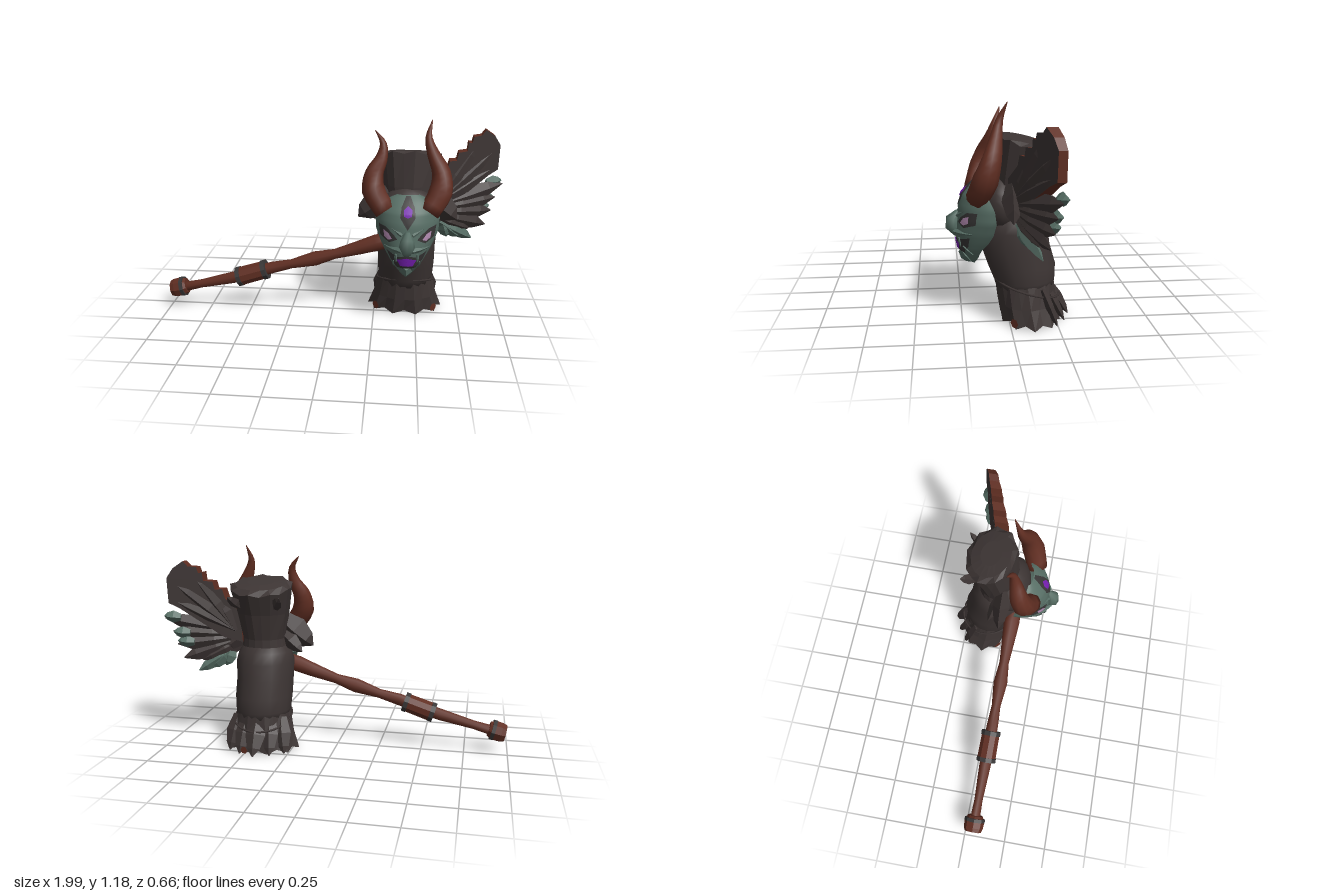
import * as THREE from 'three';

const V = (x, y, z) => new THREE.Vector3(x, y, z);
const CX = 0.435;

const mat = (name, color, side = THREE.FrontSide) => {
  const m = new THREE.MeshStandardMaterial({ color, side });
  m.name = name;
  return m;
};

export function createModel() {
  const root = new THREE.Group();
  root.name = 'hornedMaskHammer';
  const dark = mat('darkCloth', 0x3d3534, THREE.DoubleSide);
  const brown = mat('redBrownHorn', 0x602e22);
  const green = mat('greenBone', 0x576e65, THREE.DoubleSide);
  const grey = mat('darkSocket', 0x393737, THREE.DoubleSide);
  const purple = mat('purpleGlow', 0x741fae, THREE.DoubleSide);
  const mauve = mat('paleEye', 0xb48cb2, THREE.DoubleSide);

  const add = (name, geo, material) => {
    const m = new THREE.Mesh(geo, material);
    m.name = name;
    root.add(m);
    return m;
  };

  // Skin a stack of equal rings, closing both ends with fans
  const loft = (rings, flat = true) => {
    const n = rings[0].length, pos = [], idx = [];
    rings.forEach(r => r.forEach(p => pos.push(p.x, p.y, p.z)));
    for (let i = 0; i < rings.length - 1; i++) for (let j = 0; j < n; j++) {
      const a = i * n + j, b = i * n + (j + 1) % n;
      idx.push(a, b, b + n, a, b + n, a + n);
    }
    [0, rings.length - 1].forEach(k => {
      const c = V(0, 0, 0);
      rings[k].forEach(p => c.addScaledVector(p, 1 / n));
      const id = pos.length / 3;
      pos.push(c.x, c.y, c.z);
      for (let j = 0; j < n; j++) {
        const a = k * n + j, b = k * n + (j + 1) % n;
        idx.push(id, k ? a : b, k ? b : a);
      }
    });
    let g = new THREE.BufferGeometry();
    g.setAttribute('position', new THREE.Float32BufferAttribute(pos, 3));
    g.setIndex(idx);
    if (flat) g = g.toNonIndexed();
    g.computeVertexNormals();
    return g;
  };

  // Horizontal elliptical ring, optionally jagged and tilted
  const ring = (y, cz, rx, rz, n = 18, jag = 0, jagY = 0, tilt = 0) =>
    Array.from({ length: n }, (_, j) => {
      const a = j / n * Math.PI * 2, s = j % 2 ? 1 - jag : 1;
      const z = -rz * s * Math.sin(a);
      return V(CX + rx * s * Math.cos(a), y + (j % 2) * jagY + tilt * z, cz + z);
    });

  // Tapered sweep along points; squeeze thins its depth
  const sweep = (pts, radii, sides = 8, squeeze = 1, flat = true) =>
    loft(pts.map((p, i) => {
      const t = pts[Math.min(i + 1, pts.length - 1)].clone().sub(pts[Math.max(i - 1, 0)]).normalize();
      const n = V(0, 0, 1).cross(t).normalize(), b = t.clone().cross(n);
      return Array.from({ length: sides }, (_, j) => {
        const a = j / sides * Math.PI * 2;
        return p.clone().addScaledVector(n, radii[i] * Math.cos(a)).addScaledVector(b, radii[i] * squeeze * Math.sin(a));
      });
    }), flat);
  const blade = (name, a, b, w, material, squeeze = 0.35) =>
    add(name, sweep([a, a.clone().lerp(b, 0.45), a.clone().lerp(b, 0.8), b], [w * 0.6, w, w * 0.65, 0.003], 4, squeeze), material);

  // Wrapped torso
  add('torso', loft([ring(0.18, -0.09, 0.155, 0.155), ring(0.23, -0.085, 0.163, 0.165), ring(0.31, -0.07, 0.168, 0.182),
    ring(0.42, -0.035, 0.167, 0.185), ring(0.51, -0.03, 0.172, 0.178), ring(0.57, -0.03, 0.155, 0.15),
    ring(0.64, -0.03, 0.11, 0.11)], false), dark);
  // Torn skirt with trailing tatters and rust-coloured hem
  add('skirt', loft([ring(0, -0.12, 0.224, 0.163, 20, 0.1, 0.02), ring(0.1, -0.102, 0.188, 0.163, 20, 0.05),
    ring(0.24, -0.085, 0.155, 0.158, 20)]), dark);
  [[0, -0.33, 0.06], [-0.09, -0.295, 0.05], [0.09, -0.295, 0.05], [-0.165, -0.245, 0.05], [0.165, -0.245, 0.05]].forEach(([x, z, w]) =>
    blade('skirtTatter', V(CX + x * 0.8, 0.2, z * 0.55 - 0.03), V(CX + x, 0.003, z), w, dark, 0.5));
  [[-38, 0.026], [218, 0.026], [75, 0.022]].forEach(([deg, r]) => {
    const a = deg * Math.PI / 180, c = Math.cos(a), s = Math.sin(a);
    const m = add('hemPatch', new THREE.CircleGeometry(r, 6), brown);
    m.position.set(CX + 0.221 * c, 0.03, -0.117 - (s > 0 ? 0.195 : 0.164) * s);
    m.rotation.y = Math.atan2(c / 0.22, -s / 0.163);
  });
  // Belt cord
  add('belt', new THREE.TubeGeometry(new THREE.CatmullRomCurve3(ring(0.185, -0.1, 0.17, 0.175, 18, 0, 0, 0.3), true), 36, 0.006, 5, true), dark);

  // Head and flared hair bundle
  const head = new THREE.SphereGeometry(1, 16, 12);
  head.scale(0.172, 0.155, 0.11).translate(CX, 0.645, 0.04);
  add('head', head, dark);
  add('hairBundle', loft([ring(0.56, -0.03, 0.14, 0.13), ring(0.65, -0.04, 0.125, 0.12), ring(0.8, -0.06, 0.156, 0.135, 18, 0.04),
    ring(0.965, -0.09, 0.187, 0.147, 18, 0.05, -0.015, 0.3), ring(0.975, -0.09, 0.15, 0.115, 18, 0, 0, 0.25),
    ring(0.982, -0.09, 0.08, 0.06, 18, 0, 0, 0.2)]), dark);
  // Loose tufts at the back of the rim
  [-1, 1].forEach(s => blade('hairTuft', V(CX + s * 0.1, 0.84, -0.155), V(CX + s * 0.15, 0.91, -0.24), 0.032, dark, 0.7));
  // Pointed shoulder mantle
  [-1, 1].forEach(s => {
    blade('mantlePoint', V(CX + s * 0.09, 0.76, 0.0), V(CX + s * 0.285, 0.6, 0.0), 0.085, dark, 0.6);
    blade('mantleFold', V(CX + s * 0.1, 0.68, -0.02), V(CX + s * 0.235, 0.575, -0.07), 0.05, dark, 0.6);
  });

  // Mask surface: y, half width, front z, rim z
  const rows = [[0.32, 0.02, 0.195, 0.18], [0.35, 0.05, 0.22, 0.165], [0.40, 0.088, 0.262, 0.15], [0.45, 0.122, 0.272, 0.115],
    [0.50, 0.15, 0.28, 0.09], [0.57, 0.178, 0.27, 0.075], [0.64, 0.182, 0.262, 0.085], [0.70, 0.165, 0.242, 0.115],
    [0.76, 0.11, 0.19, 0.13], [0.785, 0.06, 0.16, 0.14]];
  const rowAt = y => {
    let i = 0;
    while (i < rows.length - 2 && rows[i + 1][0] < y) i++;
    const t = THREE.MathUtils.clamp((y - rows[i][0]) / (rows[i + 1][0] - rows[i][0]), 0, 1);
    return rows[i].map((v, k) => v + (rows[i + 1][k] - v) * t);
  };
  const faceZ = (x, y) => {
    const [, w, zf, zb] = rowAt(y);
    return zb + (zf - zb) * Math.sqrt(Math.max(0, 1 - (x / w) ** 2));
  };
  const mask = new THREE.PlaneGeometry(2, 1, 24, 28), mp = mask.attributes.position;
  for (let i = 0; i < mp.count; i++) {
    const [y, w, zf, zb] = rowAt(0.32 + (mp.getY(i) + 0.5) * 0.465), a = mp.getX(i) * Math.PI / 2;
    mp.setXYZ(i, CX + w * Math.sin(a), y, zb + (zf - zb) * Math.cos(a));
  }
  mask.computeVertexNormals();
  add('mask', mask, green);

  // Painted plate hugging the mask, fanned from its middle
  const plate = (name, pts, material, lift) => {
    const c = [0, 1].map(k => pts.reduce((s, p) => s + p[k], 0) / pts.length), R = 5, n = pts.length * 3, pos = [], idx = [];
    for (let r = 0; r <= R; r++) for (let j = 0; j < n; j++) {
      const a = pts[Math.floor(j / 3)], b = pts[(Math.floor(j / 3) + 1) % pts.length], t = (j % 3) / 3;
      const [x, y] = [0, 1].map(k => c[k] + (a[k] + (b[k] - a[k]) * t - c[k]) * r / R);
      pos.push(CX + x, y, faceZ(x, y) + lift);
      const q = r * n + j, e = r * n + (j + 1) % n;
      if (r < R) idx.push(q, q + n, e + n, q, e + n, e);
    }
    const g = new THREE.BufferGeometry();
    g.setAttribute('position', new THREE.Float32BufferAttribute(pos, 3));
    g.setIndex(idx);
    g.computeVertexNormals();
    add(name, g, material);
  };
  plate('foreheadSocket', [[0, 0.615], [0.042, 0.68], [0.036, 0.73], [0.012, 0.783], [-0.012, 0.783], [-0.036, 0.73], [-0.042, 0.68]], grey, 0.004);
  plate('foreheadGem', [[0, 0.68], [0.021, 0.69], [0.024, 0.72], [0, 0.74], [-0.024, 0.72], [-0.021, 0.69]], purple, 0.009);
  plate('mouthHollow', [[-0.05, 0.385], [0.05, 0.385], [0.088, 0.43], [0.112, 0.482], [0.055, 0.458], [0, 0.47], [-0.055, 0.458], [-0.112, 0.482], [-0.088, 0.43]], grey, 0.004);
  plate('mouthGlow', [[-0.035, 0.405], [0.035, 0.405], [0.055, 0.443], [0, 0.457], [-0.055, 0.443]], purple, 0.009);
  const onFace = (x, y, lift) => V(CX + x, y, faceZ(x, y) + lift);
  [-1, 1].forEach(s => {
    const flip = pts => s > 0 ? pts : pts.map(([x, y]) => [-x, y]).reverse();
    plate('eyeSocket', flip([[0.055, 0.56], [0.10, 0.535], [0.15, 0.56], [0.16, 0.625], [0.12, 0.62], [0.075, 0.585]]), grey, 0.004);
    plate('eye', flip([[0.083, 0.56], [0.105, 0.55], [0.128, 0.565], [0.132, 0.602], [0.105, 0.59]]), mauve, 0.009);
    blade('brow', onFace(s * 0.03, 0.585, 0.006), onFace(s * 0.145, 0.65, -0.004), 0.015, green, 0.8);
    blade('cheek', onFace(s * 0.03, 0.5, 0.012), onFace(s * 0.125, 0.505, 0), 0.02, green, 0.8);
    blade('upperFang', onFace(s * 0.06, 0.475, 0.006), onFace(s * 0.058, 0.425, 0.01), 0.01, green, 0.8);
    blade('lowerFang', onFace(s * 0.068, 0.38, 0.004), onFace(s * 0.072, 0.43, 0.01), 0.01, green, 0.8);
  });
  // Broad snout and chin
  add('snout', sweep([V(CX, 0.6, 0.262), V(CX, 0.56, 0.29), V(CX, 0.525, 0.29), V(CX, 0.485, 0.262)], [0.015, 0.038, 0.044, 0.03], 8, 1, false), green);
  blade('chin', V(CX, 0.39, 0.25), V(CX, 0.32, 0.195), 0.035, green, 0.9);

  // Horns, each with its own tip
  const hornRadii = [0.06, 0.066, 0.052, 0.035, 0.019, 0.002];
  [[V(0.55, 0.69, 0.17), V(0.612, 0.80, 0.13), V(0.612, 0.9, 0.1), V(0.565, 1.0, 0.075), V(0.537, 1.09, 0.055), V(0.555, 1.18, 0.018)],
    [V(0.31, 0.69, 0.17), V(0.24, 0.80, 0.13), V(0.243, 0.89, 0.1), V(0.28, 0.97, 0.075), V(0.287, 1.05, 0.055), V(0.24, 1.12, 0.03)]
  ].forEach((pts, k) => {
    const curve = new THREE.CatmullRomCurve3(pts), N = 15;
    const radii = Array.from({ length: N + 1 }, (_, i) => {
      const f = i / N * 5, a = Math.min(Math.floor(f), 4);
      return hornRadii[a] + (hornRadii[a + 1] - hornRadii[a]) * (f - a);
    });
    add(k ? 'rightHorn' : 'leftHorn', sweep(curve.getPoints(N), radii, 10, 1, false), brown);
  });

  // Handle: x, y, radius
  const along = list => [list.map(([x, y]) => V(x, y, 0.05 + (x + 1) * 0.014)), list.map(p => p[2])];
  add('handle', sweep(...along([[-0.9, 0.13, 0.03], [-0.8, 0.155, 0.026], [-0.6, 0.205, 0.036], [-0.36, 0.28, 0.036], [-0.24, 0.31, 0.028],
    [-0.1, 0.35, 0.044], [0.02, 0.385, 0.03], [0.16, 0.43, 0.042], [0.26, 0.465, 0.05], [0.38, 0.5, 0.045]]), 10, 1, false), brown);
  add('grip', sweep(...along([[-0.55, 0.217, 0.058], [-0.41, 0.263, 0.056]]), 10), brown);
  [[-0.57, 0.211], [-0.415, 0.262]].forEach(([x, y]) => add('gripBand', sweep(...along([[x, y, 0.061], [x + 0.025, y + 0.008, 0.061]]), 10), grey));
  add('pommel', sweep(...along([[-0.985, 0.115, 0.05], [-0.96, 0.12, 0.058], [-0.92, 0.13, 0.06], [-0.89, 0.138, 0.045]]), 8), brown);
  add('pommelBand', sweep(...along([[-0.925, 0.129, 0.062], [-0.905, 0.134, 0.062]]), 8), grey);

  // Wing: thick notched plate, swept back and thinning outward
  const W = (x, y, dz = 0) => V(x, y, -0.045 - (x - 0.6) * 0.41 + dz);
  const outline = [[0.56, 0.62], [0.66, 0.65], [0.8, 0.755], [0.9, 0.83], [0.955, 0.86], [0.96, 1.005], [0.925, 1.06], [0.87, 1.1], [0.845, 1.07],
    [0.8, 1.065], [0.79, 1.03], [0.77, 1.035], [0.765, 0.985], [0.715, 0.98], [0.705, 0.935], [0.665, 0.935], [0.65, 0.88], [0.57, 0.8]];
  const wing = new THREE.ExtrudeGeometry(new THREE.Shape(outline.map(p => new THREE.Vector2(...p))), { depth: 1, bevelEnabled: false });
  const wp = wing.attributes.position;
  for (let i = 0; i < wp.count; i++) {
    const x = wp.getX(i), thick = 0.095 - (x - 0.56) * 0.13;
    wp.setZ(i, W(x, 0, (wp.getZ(i) - 0.5) * thick).z);
  }
  wing.computeVertexNormals();
  add('wingPlate', wing, [dark, brown]);
  // Ribs on both faces of the plate
  [-1, 1].forEach(s => [[0.72, 0.93], [0.83, 1.03], [0.92, 0.97], [0.92, 0.87]].forEach(([x, y]) =>
    blade('wingRib', W(0.6, 0.69, s * 0.035), W(x, y, s * 0.02), 0.042, dark, 0.5)));
  // Broad ragged lower feathers: tip x, tip y, width
  [[0.99, 0.77, 0.06], [0.95, 0.69, 0.065], [0.93, 0.61, 0.065], [0.90, 0.525, 0.06], [0.8, 0.51, 0.065]].forEach(([x, y, w], i) =>
    blade('feather', W(0.58, 0.67 - i * 0.012, 0.018), W(x, y, 0.012), w, dark, 0.5));
  // Blunt bone spurs behind the trailing feather tips
  [[0.985, 0.785], [0.94, 0.69], [0.92, 0.635]].forEach(([x, y]) =>
    blade('featherSpur', W(x - 0.09, y - 0.01, -0.022), W(x, y, -0.01), 0.036, green, 0.9));
  // Bone fringe under the wing
  [[0.82, 0.445, 0.045], [0.75, 0.46, 0.045], [0.67, 0.47, 0.045]].forEach(([x, y, w], i) =>
    blade('boneFringe', W(0.62 + i * 0.01, 0.575, 0.02), W(x, y, 0.005), w, green, 0.7));

  return root;
}
